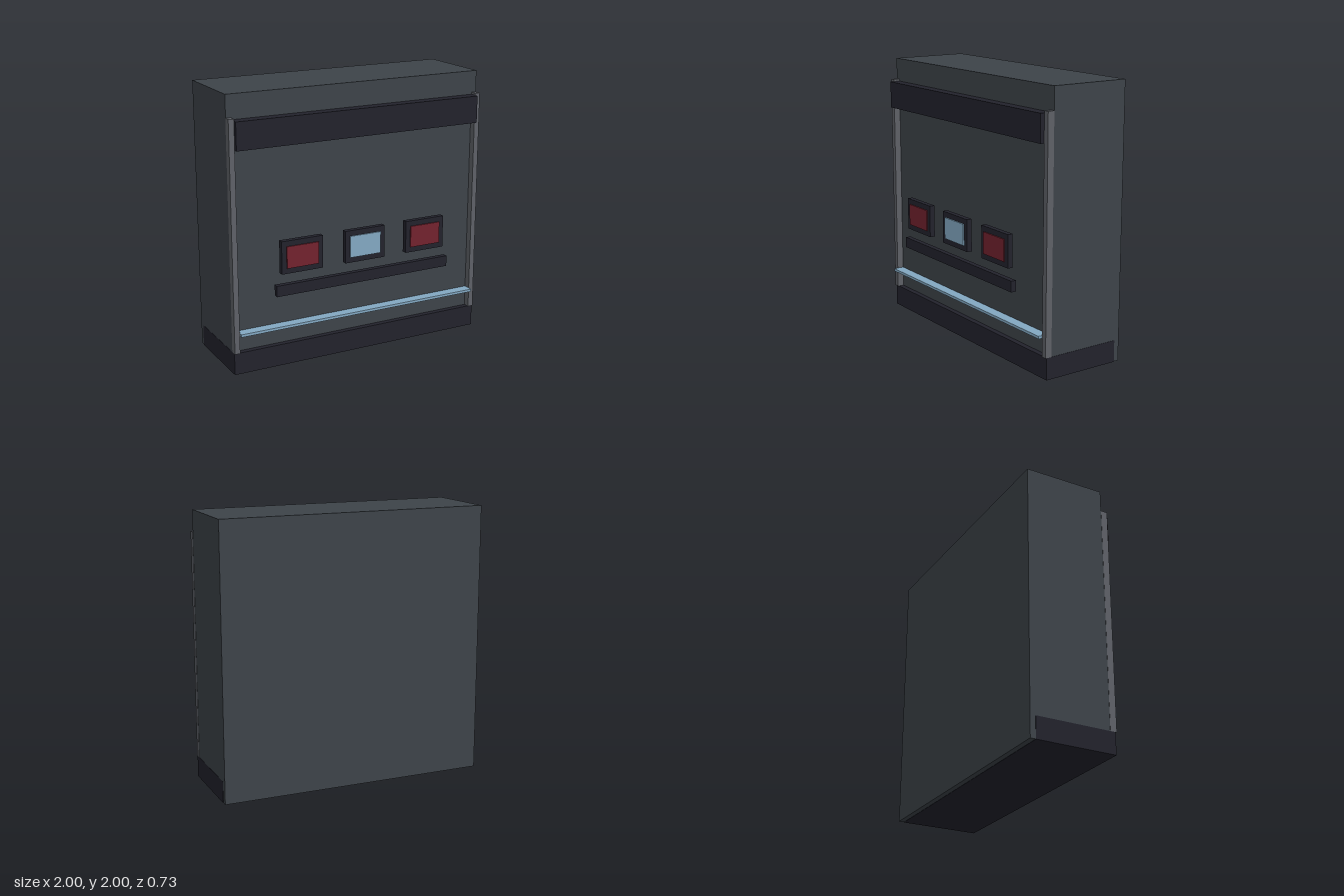
import * as THREE from 'three';

const paint = (name, color) => {
  const m = new THREE.MeshStandardMaterial({ color });
  m.name = name;
  return m;
};

export function createModel() {
  const group = new THREE.Group();
  const slate = paint('slate', 0x3d4349);
  const dark = paint('charcoal', 0x22222c);
  const grey = paint('rail grey', 0x5e6167);
  const red = paint('display red', 0x72222e);
  const blue = paint('light blue', 0x83a8c2);

  // Box given by its extents on each axis
  const box = (name, mat, [x0, x1], [y0, y1], [z0, z1]) => {
    const mesh = new THREE.Mesh(new THREE.BoxGeometry(x1 - x0, y1 - y0, z1 - z0), mat);
    mesh.position.set((x0 + x1) / 2, (y0 + y1) / 2, (z0 + z1) / 2);
    mesh.name = name;
    group.add(mesh);
  };

  // Cabinet and plinth; the plinth stands just proud of the cabinet sides
  box('cabinet', slate, [-0.998, 0.998], [0.002, 2], [-0.365, 0.235]);
  box('plinth', dark, [-1, 1], [0, 0.16], [-0.325, 0.275]);

  // Upright rails at both front edges
  for (const s of [-1, 1]) {
    const x = [0.96 * s, s].sort((a, b) => a - b);
    box(s > 0 ? 'leftRail' : 'rightRail', grey, x, [0.16, 1.84], [0.235, 0.285]);
  }

  // Header and light strip between the rails
  box('header', dark, [-0.96, 0.96], [1.625, 1.825], [0.235, 0.315]);
  box('lightStrip', blue, [-0.96, 0.96], [0.293, 0.313], [0.235, 0.315]);

  // Three framed displays above a control bar
  [['right', -0.5, red], ['centre', 0, blue], ['left', 0.5, red]].forEach(([side, x, mat]) => {
    box(side + 'DisplayFrame', dark, [x - 0.16, x + 0.16], [0.72, 0.96], [0.315, 0.355]);
    box(side + 'Display', mat, [x - 0.123, x + 0.123], [0.76, 0.92], [0.355, 0.364]);
  });
  box('controlBar', dark, [-0.7, 0.7], [0.56, 0.64], [0.315, 0.355]);

  return group;
}
